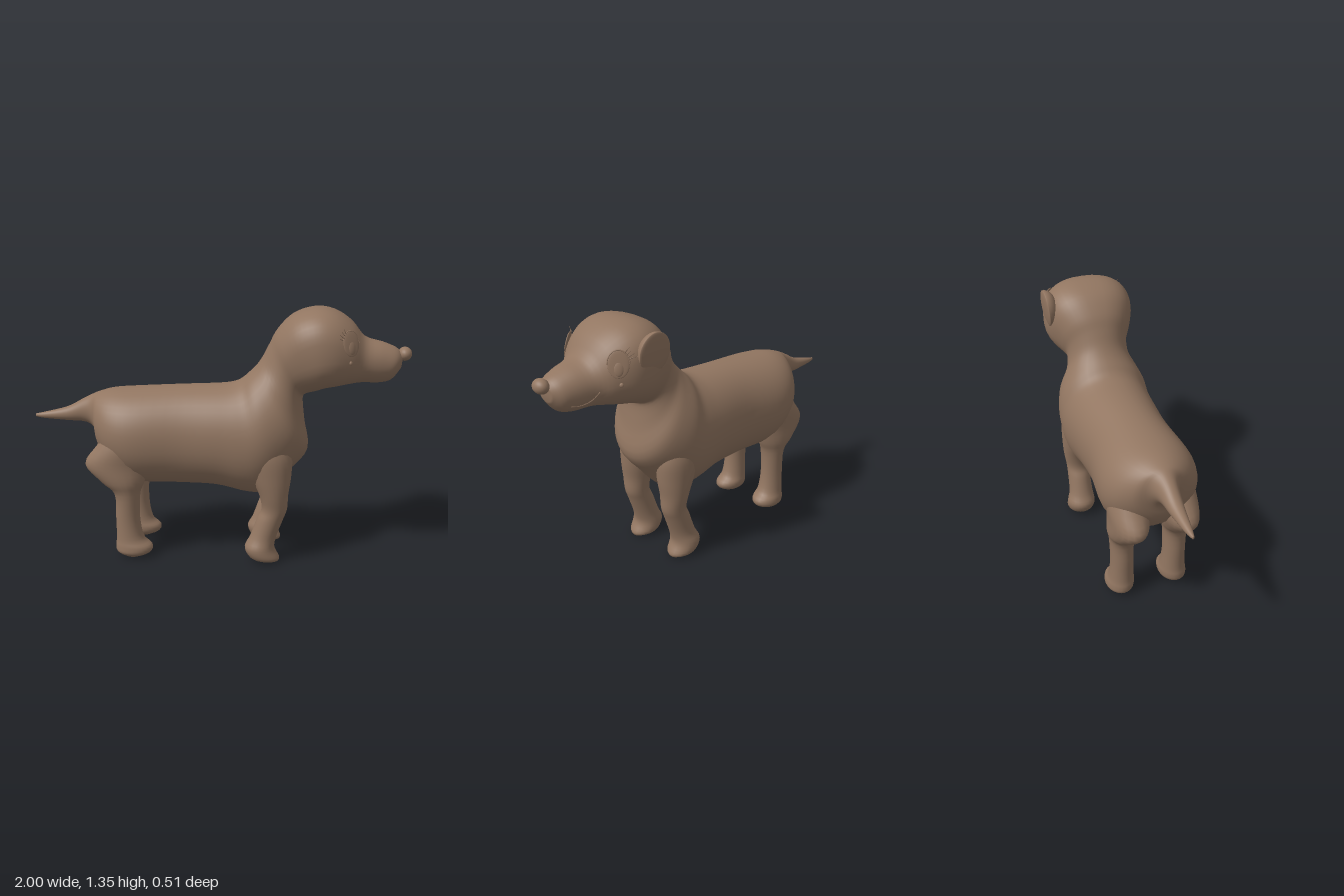
import * as THREE from 'three';

const brown = new THREE.MeshStandardMaterial({ color: 0x927661 });
brown.name = 'brown';

const V = (x, y, z) => new THREE.Vector3(x, y, z);

function part(name, geometry) {
  const mesh = new THREE.Mesh(geometry, brown);
  mesh.name = name;
  return mesh;
}

// Catmull-Rom smoothing of rows of numbers
function smoothRows(rows, steps) {
  const out = [];
  const at = i => rows[Math.min(rows.length - 1, Math.max(0, i))];
  for (let i = 0; i < rows.length - 1; i++) {
    for (let s = 0; s < steps; s++) {
      const t = s / steps, a = at(i - 1), b = at(i), c = at(i + 1), d = at(i + 2);
      out.push(b.map((v, k) => v + 0.5 * t * (c[k] - a[k]
        + t * (2 * a[k] - 5 * v + 4 * c[k] - d[k] + t * (3 * (v - c[k]) + d[k] - a[k])))));
    }
  }
  out.push(rows[rows.length - 1]);
  return out;
}

// Closed skin over rings: centre c, half-axes u and v, squareness power (2 = ellipse)
function loft(rings, sides) {
  const pos = [], idx = [];
  for (const { c, u, v, power } of rings) {
    const bend = x => Math.sign(x) * Math.abs(x) ** (2 / power);
    for (let j = 0; j < sides; j++) {
      const a = j / sides * Math.PI * 2;
      const p = c.clone().addScaledVector(u, bend(Math.cos(a))).addScaledVector(v, bend(Math.sin(a)));
      pos.push(p.x, p.y, p.z);
    }
  }
  const last = rings.length - 1;
  for (let i = 0; i < last; i++) {
    for (let j = 0; j < sides; j++) {
      const a = i * sides + j, b = i * sides + (j + 1) % sides;
      idx.push(a, b, a + sides, b, b + sides, a + sides);
    }
  }
  const start = pos.length / 3;
  pos.push(...rings[0].c.toArray(), ...rings[last].c.toArray());
  for (let j = 0; j < sides; j++) {
    const k = (j + 1) % sides;
    idx.push(start, k, j, start + 1, last * sides + j, last * sides + k);
  }
  const g = new THREE.BufferGeometry();
  g.setAttribute('position', new THREE.Float32BufferAttribute(pos, 3));
  g.setIndex(idx);
  g.computeVertexNormals();
  return g;
}

// Rows: top x, top y, bottom x, bottom y, half width, squareness
const spineLoft = rows => loft(smoothRows(rows, 4).map(([tx, ty, bx, by, w, power]) => ({
  c: V((tx + bx) / 2, (ty + by) / 2, 0),
  u: V((tx - bx) / 2, (ty - by) / 2, 0),
  v: V(0, 0, w),
  power,
})), 40);

// Rows: height, centre x, centre z, half length, half width
const legLoft = (rows, side) => loft(smoothRows(rows, 4).map(([y, x, z, rx, rz]) => ({
  c: V(x, y, z * side), u: V(0, 0, rz), v: V(rx, 0, 0), power: 2,
})), 24);

const TAIL = [
  [-1, 0.752, -1, 0.736, 0.006, 2], [-0.95, 0.763, -0.95, 0.728, 0.018, 2],
  [-0.82, 0.797, -0.82, 0.72, 0.037, 2], [-0.73, 0.845, -0.715, 0.713, 0.052, 2],
  [-0.675, 0.872, -0.662, 0.67, 0.08, 2],
];
const TORSO = [
  [-0.635, 0.887, -0.635, 0.57, 0.15, 2], [-0.56, 0.906, -0.55, 0.46, 0.22, 2],
  [-0.44, 0.915, -0.42, 0.4, 0.25, 2.1], [-0.2, 0.93, -0.2, 0.395, 0.23, 2.1],
  [0, 0.94, 0, 0.39, 0.24, 2.1], [0.08, 0.95, 0.17, 0.355, 0.25, 2.1],
  [0.125, 0.97, 0.28, 0.365, 0.255, 2], [0.16, 1.0, 0.39, 0.48, 0.25, 2],
];
const NECK = [
  [0.2, 1.04, 0.483, 0.6, 0.22, 2], [0.235, 1.09, 0.463, 0.75, 0.178, 2],
  [0.27, 1.16, 0.45, 0.87, 0.168, 2.1],
];
const HEAD = [
  [0.31, 1.235, 0.465, 0.905, 0.192, 2.3], [0.39, 1.315, 0.52, 0.925, 0.23, 2.5],
  [0.5, 1.352, 0.56, 0.94, 0.245, 2.55], [0.6, 1.34, 0.62, 0.95, 0.232, 2.45],
  [0.69, 1.285, 0.69, 0.962, 0.19, 2.3], [0.76, 1.205, 0.75, 0.968, 0.14, 2.1],
  [0.85, 1.178, 0.84, 0.968, 0.112, 2.1], [0.92, 1.15, 0.9, 0.985, 0.088, 2],
  [0.95, 1.12, 0.945, 1.04, 0.045, 2],
];
const REAR_LEG = [
  [0.004, -0.45, 0.15, 0.04, 0.035], [0.03, -0.445, 0.15, 0.092, 0.07],
  [0.065, -0.445, 0.147, 0.1, 0.075], [0.11, -0.465, 0.145, 0.075, 0.066],
  [0.22, -0.475, 0.145, 0.065, 0.06], [0.36, -0.475, 0.145, 0.07, 0.066],
  [0.43, -0.5, 0.143, 0.12, 0.083], [0.52, -0.528, 0.133, 0.172, 0.094],
  [0.62, -0.49, 0.128, 0.145, 0.1], [0.74, -0.46, 0.12, 0.09, 0.08],
];
const FRONT_LEG = [
  [0.004, 0.29, 0.15, 0.05, 0.035], [0.025, 0.267, 0.15, 0.08, 0.072],
  [0.08, 0.24, 0.15, 0.08, 0.08], [0.14, 0.258, 0.145, 0.07, 0.068],
  [0.24, 0.293, 0.145, 0.07, 0.064], [0.3, 0.315, 0.145, 0.068, 0.065],
  [0.38, 0.31, 0.147, 0.077, 0.076], [0.48, 0.295, 0.142, 0.105, 0.09],
  [0.6, 0.28, 0.14, 0.12, 0.093], [0.72, 0.27, 0.13, 0.08, 0.07],
];

// Point on the skin under a guide point, looking along -normal
function onSkin(body, point, normal) {
  const n = normal.clone().normalize();
  const ray = new THREE.Raycaster(point.clone().addScaledVector(n, 0.3), n.clone().negate());
  const hit = ray.intersectObject(body)[0];
  return hit ? hit.point : point;
}

function makeEye(body, side) {
  const eye = new THREE.Group();
  eye.name = side > 0 ? 'leftEye' : 'rightEye';
  const n = V(0.6, 0.2, 0.77 * side).normalize();
  eye.position.copy(onSkin(body, V(0.675, 1.195, 0.185 * side), n));
  eye.lookAt(eye.position.clone().add(n));
  const ball = part('eyeball', new THREE.SphereGeometry(1, 24, 12).scale(0.05, 0.065, 0.006));
  const iris = part('iris', new THREE.SphereGeometry(1, 20, 10).scale(0.026, 0.038, 0.009));
  iris.position.y = -0.02;
  const lid = part('eyelid', new THREE.TorusGeometry(0.051, 0.003, 6, 20, Math.PI).scale(1, 1.25, 1));
  const spot = part('cheekSpot', new THREE.SphereGeometry(0.01, 12, 8).scale(1, 1, 0.5));
  spot.position.set(-side * 0.01, -0.095, -0.003);
  eye.add(ball, iris, lid, spot);
  // Lashes fan out from the rear corner
  for (let i = 0; i < 4; i++) {
    const lash = part('eyelash', new THREE.ConeGeometry(0.003, 0.045, 5).translate(0, 0.02, 0));
    lash.position.set(-side * (0.05 - i * 0.007), 0.022 + i * 0.009, 0);
    lash.rotation.set(0.5, 0, side * (1.2 - i * 0.2));
    eye.add(lash);
  }
  return eye;
}

// Rounded ear flap: a ball with its outer half pressed almost flat
function makeEar() {
  const g = new THREE.SphereGeometry(1, 28, 20), p = g.attributes.position;
  for (let i = 0; i < p.count; i++) if (p.getZ(i) > 0) p.setZ(i, p.getZ(i) * 0.2);
  g.scale(0.092, 0.1, 0.065);
  g.computeVertexNormals();
  const ear = part('rightEar', g);
  ear.position.set(0.505, 1.22, -0.24);
  ear.rotation.set(-0.1, Math.PI, 0);
  return ear;
}

export function createModel() {
  const model = new THREE.Group();
  model.name = 'dog';
  const body = part('bodyHeadAndTail', spineLoft([...TAIL, ...TORSO, ...NECK, ...HEAD]));
  body.updateMatrixWorld();
  model.add(body);

  for (const side of [1, -1]) {
    const label = side > 0 ? 'left' : 'right';
    model.add(part(label + 'RearLeg', legLoft(REAR_LEG, side)));
    model.add(part(label + 'FrontLeg', legLoft(FRONT_LEG, side)));
    model.add(makeEye(body, side));
  }
  model.add(makeEar());

  const nose = part('nose', new THREE.SphereGeometry(1, 24, 16).scale(0.036, 0.036, 0.046));
  nose.position.set(0.964, 1.118, 0.005);
  model.add(nose);

  // Smile line on the muzzle
  const smile = [[0.88, 1.02], [0.83, 1.015], [0.78, 1.03], [0.74, 1.07]]
    .map(([x, y]) => onSkin(body, V(x, y, -0.1), V(0.25, 0, -1)));
  model.add(part('mouth', new THREE.TubeGeometry(new THREE.CatmullRomCurve3(smile), 20, 0.003, 6)));
  return model;
}
